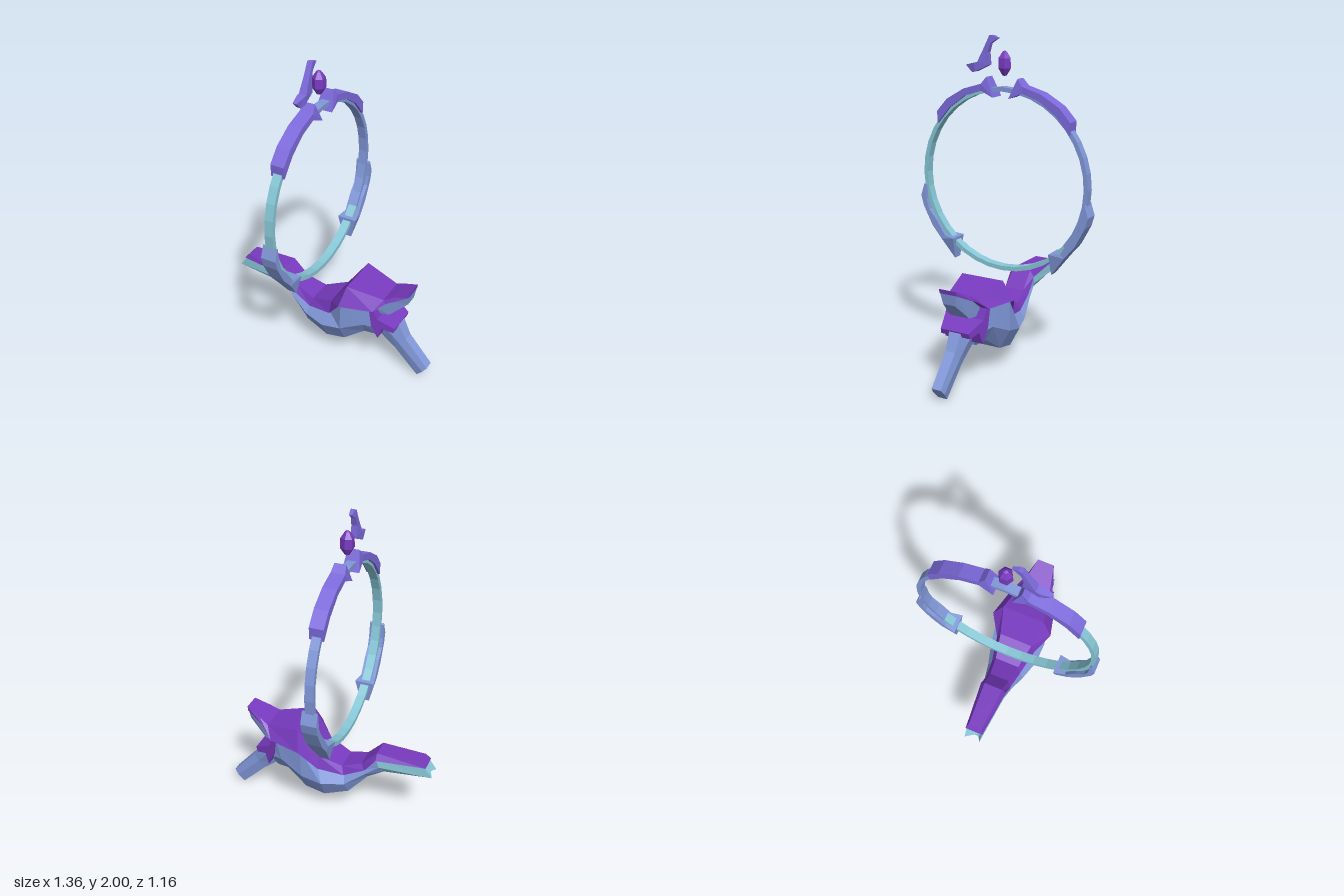
import * as THREE from 'three';

const makeMaterial = (name, color) => {
  const m = new THREE.MeshStandardMaterial({ color });
  m.name = name;
  return m;
};

// Faceted loft through loops of [x, y, z]; turned outward by its signed volume.
function loft(loops) {
  const tris = [], n = loops[0].length;
  for (let i = 0; i < loops.length - 1; i++) {
    for (let j = 0; j < n; j++) {
      const k = (j + 1) % n, A = loops[i], B = loops[i + 1];
      tris.push([A[j], A[k], B[k]], [A[j], B[k], B[j]]);
    }
  }
  const first = loops[0], last = loops[loops.length - 1];
  for (let j = 1; j < n - 1; j++) {
    tris.push([first[0], first[j + 1], first[j]], [last[0], last[j], last[j + 1]]);
  }
  let volume = 0;
  for (const t of tris) {
    const [a, b, c] = t.map((p) => new THREE.Vector3(...p));
    volume += a.dot(b.cross(c));
  }
  if (volume < 0) tris.forEach((t) => t.reverse());
  const g = new THREE.BufferGeometry();
  g.setAttribute('position', new THREE.Float32BufferAttribute(tris.flat(2), 3));
  g.computeVertexNormals();
  return g;
}

// Half sections [a, b, halfWidth] become symmetric loops.
const mirrored = (sections, map) => sections.map((s) => [
  ...s.map(([a, b, w]) => map(a, b, w)),
  ...[...s].reverse().map(([a, b, w]) => map(a, b, -w)),
]);
const alongX = (sections) => loft(mirrored(sections, (x, y, w) => [x, y, w]));
const alongRing = (sections, side) => loft(mirrored(sections, (z, y, w) => [w, y, z * side]));

const faceted = (g) => {
  const flat = g.toNonIndexed();
  flat.computeVertexNormals();
  return flat;
};

export function createModel() {
  const model = new THREE.Group();
  const teal = makeMaterial('teal', 0x88c8d8);
  const blue = makeMaterial('blue', 0x8299da);
  const violet = makeMaterial('violet', 0x7d6add);
  const purple = makeMaterial('purple', 0x783abf);
  const add = (name, geometry, material, parent = model) => {
    const mesh = new THREE.Mesh(geometry, material);
    mesh.name = name;
    parent.add(mesh);
    return mesh;
  };

  // Body: upper edge, flank and belly of each section
  const body = [
    [[-0.63, 0.475, 0.052], [-0.68, 0.41, 0.05], [-0.64, 0.392, 0.03]],
    [[-0.33, 0.47, 0.08], [-0.35, 0.42, 0.083], [-0.375, 0.375, 0.05]],
    [[-0.26, 0.38, 0.08], [-0.26, 0.35, 0.095], [-0.275, 0.317, 0.06]],
    [[-0.127, 0.315, 0.095], [-0.14, 0.26, 0.125], [-0.153, 0.18, 0.08]],
    [[0.037, 0.34, 0.12], [0, 0.25, 0.165], [0, 0.127, 0.1]],
    [[0.138, 0.48, 0.17], [0.13, 0.28, 0.17], [0.127, 0.153, 0.1]],
    [[0.32, 0.485, 0.13], [0.28, 0.35, 0.14], [0.26, 0.249, 0.08]],
    [[0.37, 0.41, 0.1], [0.38, 0.33, 0.1], [0.34, 0.24, 0.06]],
  ];
  add('rearHandle', alongX(body.slice(0, 2)), teal);
  add('belly', alongX(body.slice(1)), blue);

  // Back shell: flat top strip and sloping sides
  add('backShell', alongX([
    [[-0.61, 0.51, 0.045], [-0.64, 0.476, 0.057]],
    [[-0.33, 0.508, 0.06], [-0.33, 0.468, 0.087]],
    [[-0.233, 0.407, 0.065], [-0.26, 0.376, 0.087]],
    [[-0.11, 0.365, 0.08], [-0.127, 0.312, 0.102]],
    [[0.04, 0.423, 0.11], [0.037, 0.34, 0.135]],
    [[0.164, 0.6, 0.14], [0.138, 0.48, 0.204]],
    [[0.39, 0.555, 0.092], [0.345, 0.485, 0.152]],
    [[0.45, 0.588, 0.078], [0.41, 0.54, 0.105]],
    [[0.545, 0.632, 0.055], [0.54, 0.605, 0.058]],
  ]), purple);

  // Open mouth: upper jaw, lip and front leg
  add('upperJaw', alongX([
    [[0.32, 0.5, 0.11], [0.32, 0.43, 0.09]],
    [[0.41, 0.545, 0.085], [0.42, 0.434, 0.065]],
    [[0.54, 0.607, 0.053], [0.53, 0.54, 0.04]],
  ]), blue);
  const lipShape = new THREE.Shape([
    [0.32, 0.486], [0.345, 0.485], [0.37, 0.42], [0.476, 0.362],
    [0.466, 0.33], [0.4, 0.35], [0.375, 0.275], [0.335, 0.365],
  ].map((p) => new THREE.Vector2(...p)));
  const lip = new THREE.ExtrudeGeometry(lipShape, { depth: 2, bevelEnabled: false });
  const p = lip.attributes.position;
  for (let i = 0; i < p.count; i++) {
    const width = THREE.MathUtils.mapLinear(p.getX(i), 0.32, 0.476, 0.145, 0.095);
    p.setZ(i, (p.getZ(i) - 1) * width);
  }
  add('lowerLip', faceted(lip), purple);
  add('frontLeg', alongX([
    [[0.4, 0.4, 0.045], [0.36, 0.33, 0.07], [0.33, 0.27, 0.045]],
    [[0.476, 0.352, 0.038], [0.43, 0.285, 0.06], [0.386, 0.217, 0.038]],
    [[0.524, 0.254, 0.032], [0.49, 0.21, 0.045], [0.455, 0.158, 0.032]],
    [[0.675, 0.08, 0.03], [0.65, 0.05, 0.04], [0.61, 0.002, 0.03]],
  ]), blue);

  // Standing ring in two coloured arcs
  const ring = new THREE.Group();
  ring.name = 'ring';
  ring.position.x = -0.1;
  model.add(ring);
  const band = [[0.538, -0.027], [0.565, -0.027], [0.565, 0.027], [0.538, 0.027], [0.538, -0.027]]
    .map((q) => new THREE.Vector2(...q));
  const arc = (name, from, to, material) => {
    const g = new THREE.LatheGeometry(band, (to - from) / 10,
      THREE.MathUtils.degToRad(from), THREE.MathUtils.degToRad(to - from));
    add(name, faceted(g.rotateZ(Math.PI / 2).translate(0, 1.138, 0)), material, ring);
  };
  arc('frontArc', -140, 80, teal);
  arc('backArc', 80, 220, blue);

  // Armour plates on both sides of the ring: outer and inner edge of each section
  for (const side of [1, -1]) {
    add('upperPlate', alongRing([
      [[0.452, 1.53, 0.043], [0.447, 1.457, 0.043]],
      [[0.38, 1.61, 0.043], [0.36, 1.56, 0.043]],
      [[0.26, 1.68, 0.043], [0.25, 1.638, 0.043]],
      [[0.14, 1.715, 0.043], [0.14, 1.675, 0.043]],
      [[0.105, 1.758, 0.035], [0.053, 1.64, 0.053]],
    ], side), violet, ring);
    add('lowerPlate', alongRing([
      [[0.553, 1.064, 0.046], [0.545, 1.055, 0.046]],
      [[0.578, 0.985, 0.048], [0.538, 0.96, 0.048]],
      [[0.56, 0.92, 0.048], [0.52, 0.9, 0.048]],
      [[0.497, 0.8, 0.048], [0.467, 0.84, 0.048]],
      [[0.43, 0.72, 0.048], [0.405, 0.745, 0.048]],
      [[0.34, 0.6, 0.03], [0.333, 0.735, 0.063]],
    ], side), blue, ring);
  }

  // Floating blade and gem
  add('blade', alongRing([
    [[0.075, 2, 0.014], [0.037, 1.985, 0.008]],
    [[0.095, 2, 0.016], [0.09, 1.952, 0.016]],
    [[0.132, 1.925, 0.018], [0.106, 1.9, 0.018]],
    [[0.175, 1.84, 0.024], [0.1, 1.825, 0.018]],
    [[0.2, 1.835, 0.024], [0.19, 1.783, 0.022]],
    [[0.26, 1.82, 0.012], [0.217, 1.777, 0.012]],
  ], 1), violet, ring);
  const gem = new THREE.LatheGeometry(
    [[0, -0.075], [0.015, -0.07], [0.042, -0.028], [0.04, 0.03], [0.016, 0.065], [0, 0.075]]
      .map((q) => new THREE.Vector2(...q)), 6);
  add('gem', faceted(gem.translate(0, 1.84, 0)), purple, ring);

  return model;
}
